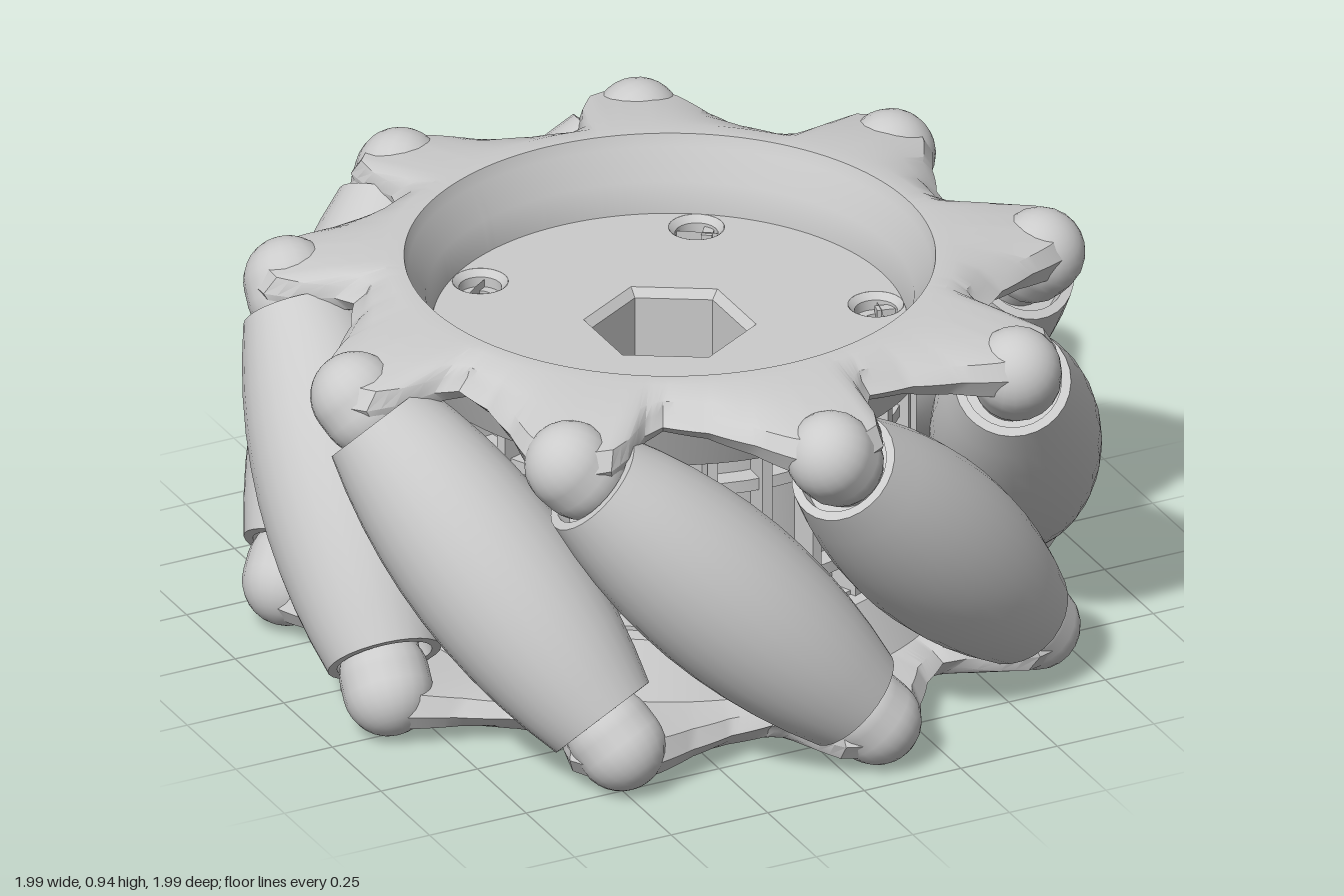
import * as THREE from 'three';
import { toCreasedNormals } from 'three/addons/utils/BufferGeometryUtils.js';

const H = 0.4675; // half the wheel's width
const COUNT = 9;
const RC = 0.8; // distance of the roller axes from the wheel's centre
const STEP = (Math.PI * 2) / COUNT;
const rad = THREE.MathUtils.degToRad;
const grey = new THREE.MeshStandardMaterial({ color: 0xcccccc });
const thin = new THREE.MeshStandardMaterial({ color: 0xcccccc, side: THREE.DoubleSide });
const faceted = new THREE.MeshStandardMaterial({ color: 0xcccccc, side: THREE.DoubleSide, flatShading: true });

function part(name, geometry, material = grey) {
  const mesh = new THREE.Mesh(geometry, material);
  mesh.name = name;
  return mesh;
}

function lathe(points, segments, crease = 0.5) {
  const profile = points.map(([r, y]) => new THREE.Vector2(r, y));
  return toCreasedNormals(new THREE.LatheGeometry(profile, segments), crease);
}

// Outer radius of a side plate, by degrees away from the ear's middle
const OUTLINE = [[-12, 0.74], [-9, 0.78], [-7, 0.88], [-5, 0.94], [-1, 0.97],
  [4, 0.97], [8, 0.92], [13, 0.84], [20, 0.77], [28, 0.74]];
function outlineRadius(degrees) {
  const d = ((((degrees - 22 + 12) % 40) + 40) % 40) - 12;
  const i = Math.max(1, OUTLINE.findIndex(([a]) => a >= d));
  const [a0, r0] = OUTLINE[i - 1], [a1, r1] = OUTLINE[i];
  return r0 + ((r1 - r0) * (d - a0)) / (a1 - a0);
}

// Side plate: a dished rim whose cross-section swells out into the ears
function sidePlateGeometry() {
  const n = 360, positions = [], index = [];
  let m = 0;
  for (let i = 0; i < n; i++) {
    const R = outlineRadius(i), w = (R - 0.74) / 0.23, a = rad(i);
    const section = [
      [0.55, H - 0.24], [0.55, H - 0.17], [0.565, H - 0.1], [0.605, H - 0.03], [0.615, H], [0.66, H],
      [0.66 + (R - 0.66) * 0.5, H - 0.022], [R - 0.03, H - 0.045], [R, H - 0.07 - 0.02 * w],
      [R - 0.03, H - 0.095 - 0.05 * w], [0.66, H - 0.11], [0.6, H - 0.24],
    ];
    m = section.length;
    section.forEach(([r, y], j) => {
      positions.push(r * Math.cos(a), y, r * Math.sin(a));
      const k = (i + 1) % n, l = (j + 1) % m;
      index.push(i * m + j, k * m + j, k * m + l, i * m + j, k * m + l, i * m + l);
    });
  }
  const geometry = new THREE.BufferGeometry();
  geometry.setAttribute('position', new THREE.Float32BufferAttribute(positions, 3));
  geometry.setIndex(index);
  return toCreasedNormals(geometry, 0.6);
}

// Barrel roller with hollowed ends and a thin axle
function rollerGeometry() {
  const half = 0.43, points = [[0.085, -0.48], [0.085, -0.39], [0.113, -0.39], [0.113, -half]];
  for (let i = 0; i <= 10; i++) {
    const t = i / 5 - 1;
    points.push([0.2 - 0.065 * t * t, t * half]);
  }
  points.push([0.113, half], [0.113, 0.39], [0.085, 0.39], [0.085, 0.48]);
  return lathe(points, 28);
}

// Flat disc with its top at y, pierced by the given holes
function disc(name, y, thickness, holes) {
  const shape = new THREE.Shape().absarc(0, 0, 0.556, 0, Math.PI * 2);
  shape.holes.push(...holes);
  const geometry = new THREE.ExtrudeGeometry(shape, { depth: thickness, bevelEnabled: false, curveSegments: 32 });
  geometry.rotateX(-Math.PI / 2).translate(0, y - thickness, 0);
  return part(name, geometry);
}

const roundHole = (x, y, r) => new THREE.Path().absarc(x, y, r, 0, Math.PI * 2, true);

export function createModel() {
  const model = new THREE.Group();
  model.name = 'rollerWheel';

  // Rollers and side plates, in a frame whose x axis points at one roller
  const wheel = new THREE.Group();
  wheel.name = 'wheel';
  wheel.position.y = H;
  wheel.rotation.y = -rad(68);
  model.add(wheel);

  const rollerShape = rollerGeometry();
  for (let i = 0; i < COUNT; i++) {
    const mount = new THREE.Group();
    mount.name = 'rollerMount';
    mount.rotation.y = -i * STEP;
    const roller = part('roller', rollerShape);
    roller.position.x = RC;
    roller.rotation.x = Math.PI / 4;
    mount.add(roller);
    wheel.add(mount);
  }

  // The lower side is the upper one turned half round about a radius
  const plateShape = sidePlateGeometry();
  const lobeShape = new THREE.CapsuleGeometry(0.105, 0.04, 8, 20);
  for (const turn of [0, Math.PI]) {
    const side = new THREE.Group();
    side.name = turn ? 'lowerSide' : 'upperSide';
    side.rotation.x = turn;
    side.add(part('sidePlate', plateShape));
    for (let i = 0; i < COUNT; i++) {
      const ear = new THREE.Group();
      ear.name = 'ear';
      ear.rotation.y = -i * STEP;
      const lobe = part('axleLobe', lobeShape);
      lobe.position.set(RC + 0.01, 0.345, 0.345);
      lobe.rotation.x = Math.PI / 4;
      ear.add(lobe);
      side.add(ear);
    }
    wheel.add(side);
  }

  // Upper hub face with hexagonal socket and five screw holes
  const hex = new THREE.Path();
  hex.setFromPoints([...Array(6)].map((_, i) => {
    const a = rad(90 - i * 60);
    return new THREE.Vector2(0.2 * Math.cos(a), 0.2 * Math.sin(a));
  }));
  hex.closePath();
  const screws = [...Array(5)].map((_, i) => {
    const a = rad(88 + 72 * i);
    return [0.485 * Math.cos(a), 0.485 * Math.sin(a)];
  });
  model.add(disc('upperHubFace', 0.76, 0.05, [hex, ...screws.map(([x, z]) => roundHole(x, -z, 0.065))]));
  model.add(part('hexSocket', new THREE.LatheGeometry(
    [[0.2, 0.76], [0.18, 0.74], [0.18, 0.58], [0.05, 0.58]].map(([r, y]) => new THREE.Vector2(r, y)), 6), faceted));
  const cupShape = lathe([[0.065, 0.76], [0.05, 0.745], [0.05, 0.72], [0.028, 0.72], [0.028, 0.66], [0, 0.66]], 20);
  for (const [x, z] of screws) {
    const cup = part('screwHole', cupShape, thin);
    cup.position.set(x, 0, z);
    model.add(cup);
  }

  // Lower hub face and stepped bore
  model.add(disc('lowerHubFace', 0.25, 0.05, [roundHole(0, 0, 0.12)]));
  model.add(part('bore', lathe([[0.12, 0.2], [0.12, 0.5], [0.05, 0.5], [0.05, 0.58]], 32), thin));

  // Ribbed core between the two faces
  model.add(part('core', lathe([[0.5, 0.22], [0.5, 0.74]], 48), thin));
  const ribShape = new THREE.BoxGeometry(0.08, 0.54, 0.025);
  for (let i = 0; i < 27; i++) {
    const a = (i / 27) * Math.PI * 2;
    const rib = part('coreRib', ribShape);
    rib.position.set(0.53 * Math.cos(a), H, 0.53 * Math.sin(a));
    rib.rotation.y = -a;
    model.add(rib);
  }
  for (const y of [0.33, 0.6]) {
    model.add(part('coreBand', lathe(
      [[0.49, y - 0.015], [0.55, y - 0.015], [0.55, y + 0.015], [0.49, y + 0.015]], 48)));
  }
  return model;
}
